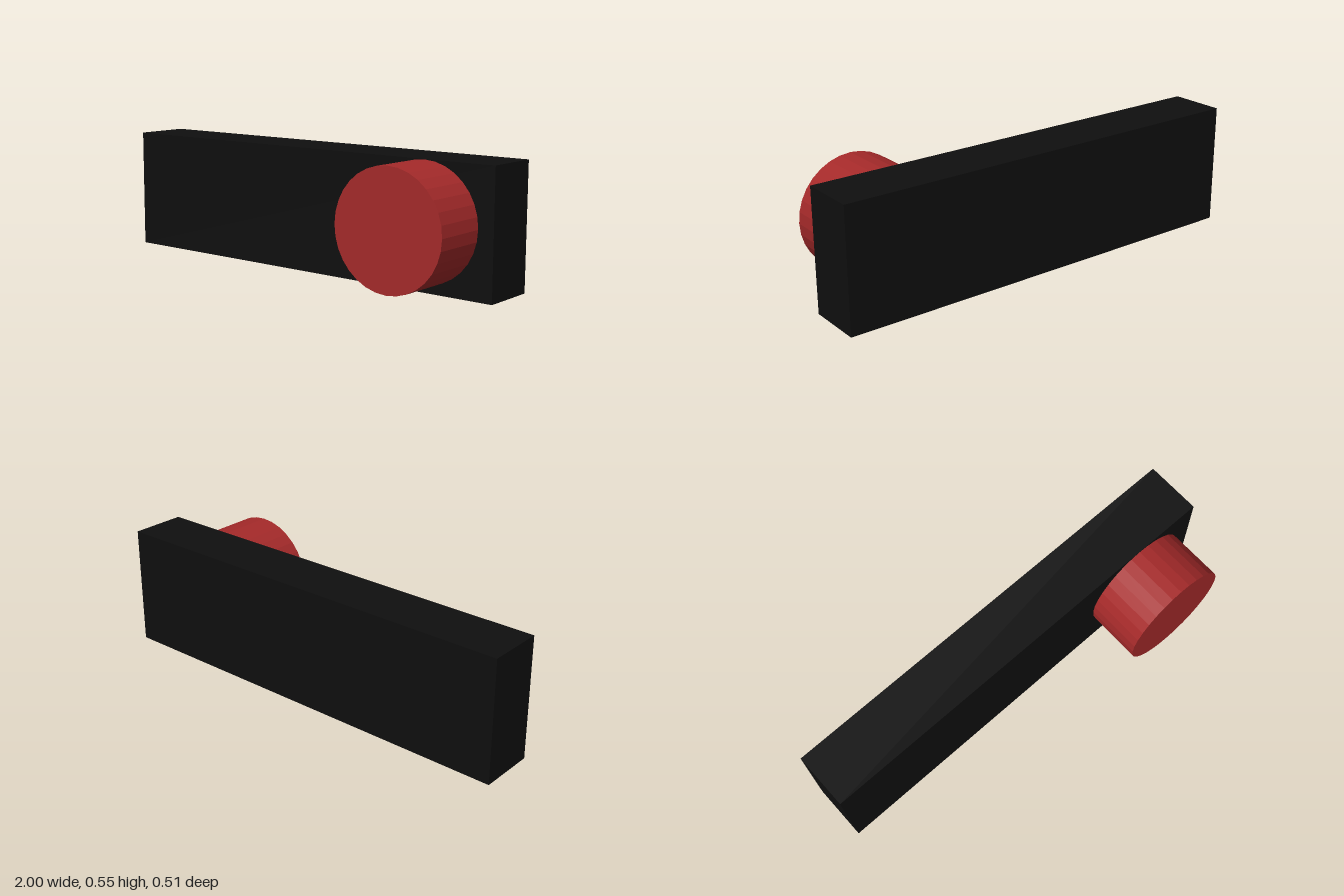
import * as THREE from 'three';

export function createModel() {
  const group = new THREE.Group();

  // Long dark bar, its front face on z = 0
  const bar = new THREE.Mesh(
    new THREE.BoxGeometry(2, 0.552, 0.256),
    new THREE.MeshStandardMaterial({ color: 0x0f0f0f })
  );
  bar.name = 'bar';
  bar.position.set(0, 0.276, -0.128);
  group.add(bar);

  // Faceted round knob standing out from the front of the bar
  const knob = new THREE.Mesh(
    new THREE.CylinderGeometry(0.258, 0.258, 0.256, 32),
    new THREE.MeshStandardMaterial({ color: 0xa52a2a, flatShading: true })
  );
  knob.name = 'knob';
  knob.rotation.x = Math.PI / 2;
  knob.position.set(0.671, 0.292, 0.128);
  group.add(knob);

  return group;
}
